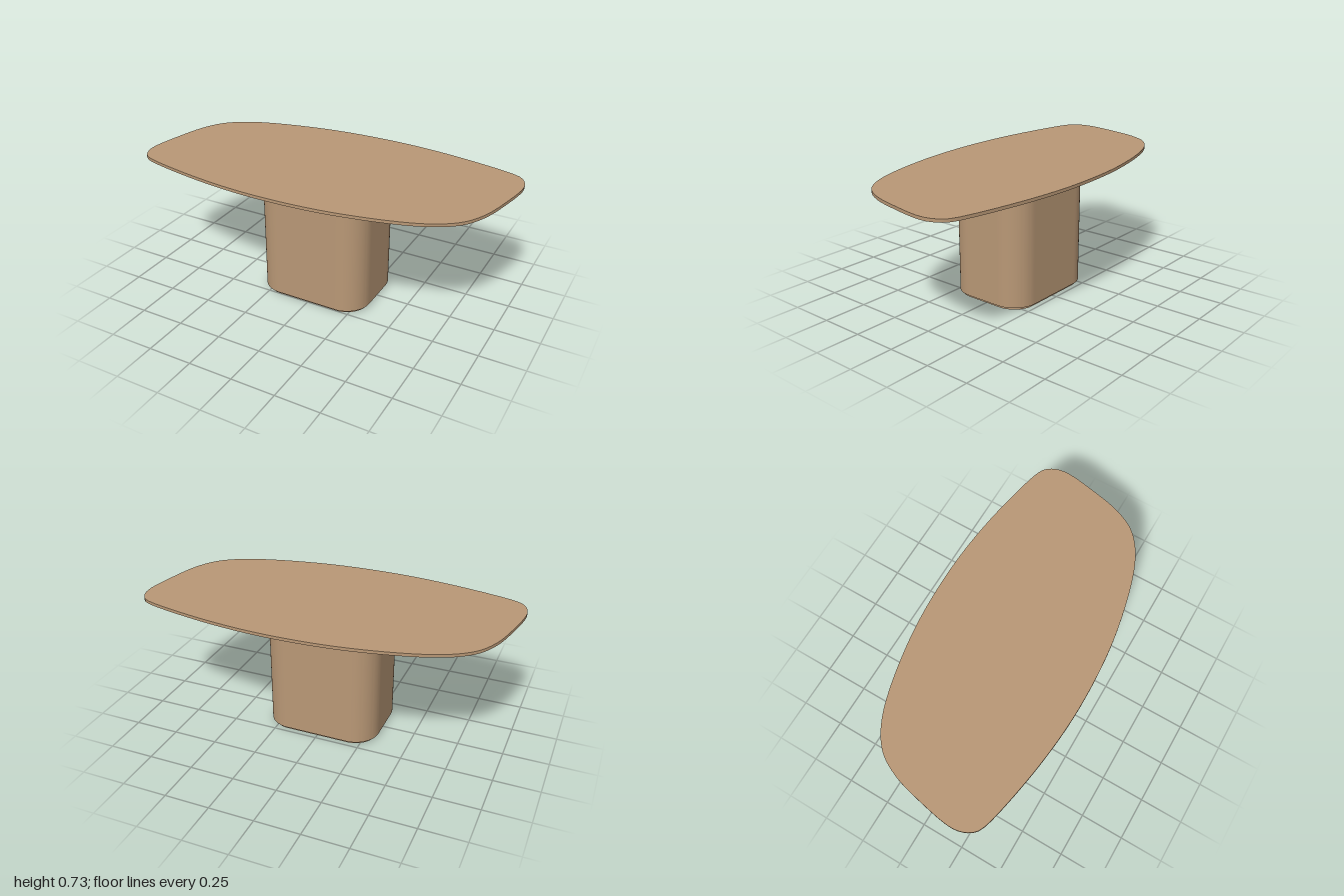
import * as THREE from 'three';
import { toCreasedNormals } from 'three/addons/utils/BufferGeometryUtils.js';

const SEGMENTS = 256;

// Resample a closed outline at equal angles around its centre, counter-clockwise in (x, z)
function polarOutline(points) {
  const result = [];
  for (let i = 0; i < SEGMENTS; i++) {
    const a = (i / SEGMENTS) * Math.PI * 2;
    const dx = Math.cos(a), dz = Math.sin(a);
    let best = 0;
    for (let j = 0; j < points.length; j++) {
      const p = points[j], q = points[(j + 1) % points.length];
      const sp = dx * p.y - dz * p.x, sq = dx * q.y - dz * q.x;
      if (sp === sq || sp * sq > 0) continue;
      const t = sp / (sp - sq);
      best = Math.max(best, dx * (p.x + (q.x - p.x) * t) + dz * (p.y + (q.y - p.y) * t));
    }
    result.push(new THREE.Vector2(dx * best, dz * best));
  }
  return result;
}

// Soft skewed table outline: half the points, the rest by half-turn symmetry
function tableOutline() {
  const half = [
    [0.999, -0.25], [0.981, -0.32], [0.95, -0.36], [0.9, -0.383], [0.51, -0.458], [0.136, -0.484],
    [-0.29, -0.453], [-0.7, -0.348], [-0.85, -0.25], [-0.92, -0.135], [-0.97, 0.05],
  ];
  const all = [...half, ...half.map(([x, z]) => [-x, -z])];
  const curve = new THREE.CatmullRomCurve3(all.map(([x, z]) => new THREE.Vector3(x, 0, z)), true);
  return polarOutline(curve.getSpacedPoints(600).slice(0, -1).map((p) => new THREE.Vector2(p.x, p.z)));
}

// Rounded rectangle of half sizes w, d
function roundedOutline(w, d, r) {
  const s = new THREE.Shape();
  s.absarc(w - r, d - r, r, 0, Math.PI / 2);
  s.absarc(r - w, d - r, r, Math.PI / 2, Math.PI);
  s.absarc(r - w, r - d, r, Math.PI, Math.PI * 1.5);
  s.absarc(w - r, r - d, r, Math.PI * 1.5, Math.PI * 2);
  return polarOutline(s.getPoints(24));
}

// Closed solid through rings listed from bottom to top
function loft(rings) {
  const pos = [], index = [];
  for (const { outline, y, z = 0 } of rings) {
    for (const p of outline) pos.push(p.x, y, p.y + z);
  }
  const n = SEGMENTS, last = (rings.length - 1) * n;
  const bottom = rings.length * n, top = bottom + 1;
  const end = rings[rings.length - 1];
  pos.push(0, rings[0].y, rings[0].z || 0, 0, end.y, end.z || 0);
  for (let i = 0; i < n; i++) {
    const j = (i + 1) % n;
    for (let k = 0; k < last; k += n) {
      index.push(k + i, k + n + i, k + j, k + j, k + n + i, k + n + j);
    }
    index.push(bottom, i, j, top, last + j, last + i);
  }
  const g = new THREE.BufferGeometry();
  g.setAttribute('position', new THREE.Float32BufferAttribute(pos, 3));
  g.setIndex(index);
  return toCreasedNormals(g, 0.6);
}

export function createModel() {
  const group = new THREE.Group();
  group.name = 'table';
  const wood = new THREE.MeshStandardMaterial({ color: 0xb99876 });
  wood.name = 'light wood';

  const add = (name, rings) => {
    const mesh = new THREE.Mesh(loft(rings), wood);
    mesh.name = name;
    group.add(mesh);
  };

  const offset = 0.012; // pedestal sits slightly forward
  const body = roundedOutline(0.32, 0.248, 0.14);
  const inset = roundedOutline(0.306, 0.234, 0.126);
  const edge = tableOutline();

  // Recessed plinth and pedestal
  add('plinth', [{ outline: inset, y: 0, z: offset }, { outline: inset, y: 0.016, z: offset }]);
  add('pedestal', [{ outline: body, y: 0.015, z: offset }, { outline: body, y: 0.7, z: offset }]);

  // Top with an underside tapering from the pedestal to a thin edge
  add('tabletop', [
    { outline: body, y: 0.689, z: offset },
    { outline: edge, y: 0.717 },
    { outline: edge, y: 0.734 },
  ]);
  return group;
}
